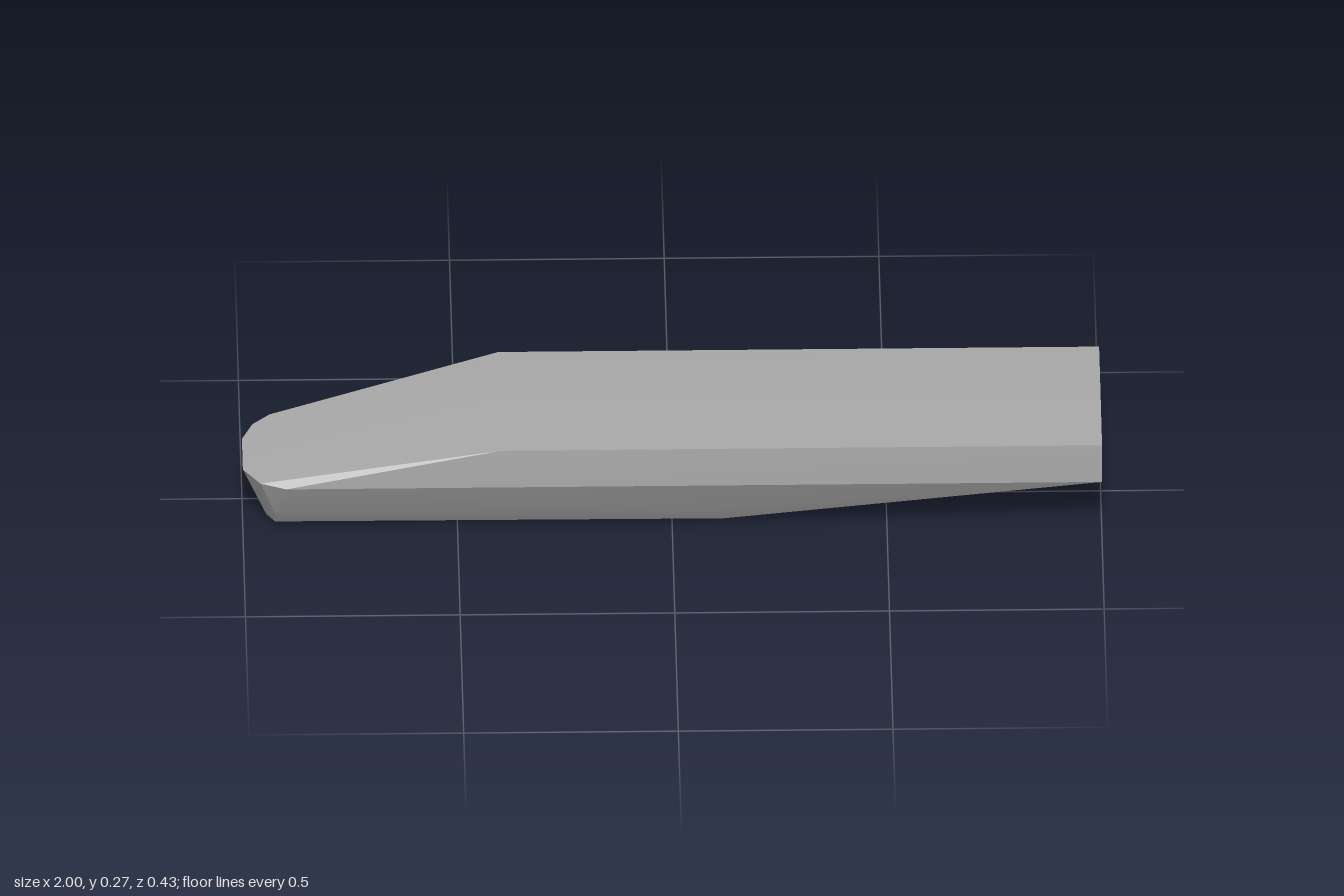
import * as THREE from 'three';
import { ConvexGeometry } from 'three/addons/geometries/ConvexGeometry.js';
import { toCreasedNormals } from 'three/addons/utils/BufferGeometryUtils.js';

export function createModel() {
  const group = new THREE.Group();
  group.name = 'bargeHull';
  const grey = new THREE.MeshStandardMaterial({ color: 0xa8a8a8 });
  grey.name = 'grey';

  const points = [];
  const section = (x, yz) => yz.forEach(([y, z]) => points.push(new THREE.Vector3(x, y, z)));

  // deck: constant cross-section from the square stern to the start of the bow slope
  const deck = [[0.264, 0.208], [0.268, -0.1], [0.262, -0.213], [0.178, -0.213]];
  section(1, deck);
  section(-0.4, deck);
  // stern lower lip
  section(1, [[0.17, -0.175], [0.155, 0.02], [0.155, 0.14], [0.162, 0.208]]);

  // keel: flat bottom with chamfered sides
  const keel = [[0.06, 0.155], [0.016, 0.126], [0, 0.08], [0, 0.02], [0.02, -0.018]];
  section(0.12, keel);
  section(-0.91, keel.slice(2, 4));
  section(-0.945, [[0.016, 0.09], [0.016, 0.035]]);
  section(-0.925, [[0.02, -0.015], [0.016, 0.122], [0.06, 0.155]]);

  // rounded bow rim
  const rim = [
    [-0.9, 0.165, 0.213], [-0.96, 0.17, 0.195], [-1, 0.167, 0.13], [-1, 0.167, 0],
    [-0.975, 0.171, -0.055], [-0.935, 0.178, -0.085],
  ];
  rim.forEach((p) => points.push(new THREE.Vector3(...p)));

  const hull = new THREE.Mesh(toCreasedNormals(new ConvexGeometry(points), 0.35), grey);
  hull.name = 'hull';
  group.add(hull);
  return group;
}
